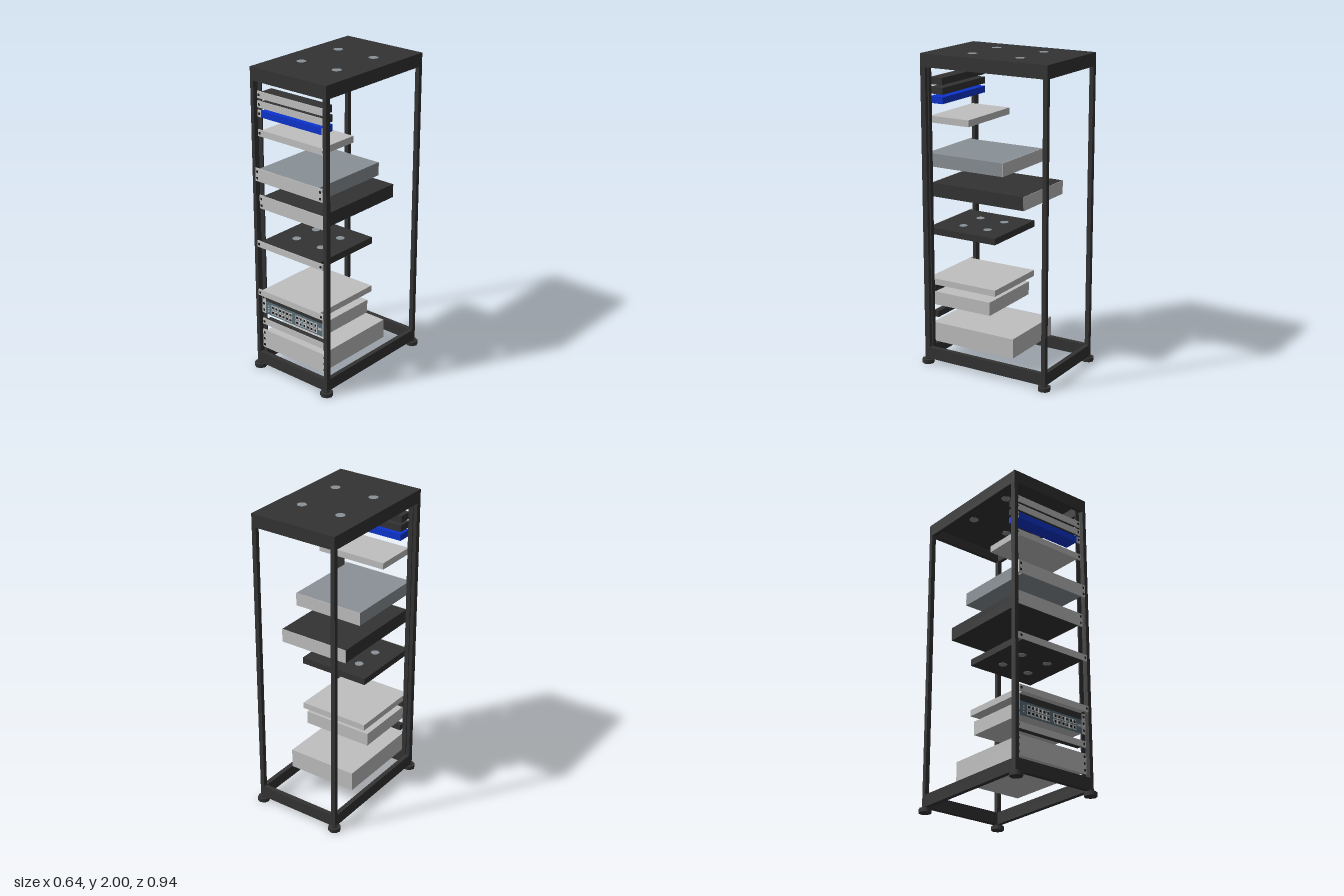
import * as THREE from 'three';

const mat = (name, color) => {
  const m = new THREE.MeshStandardMaterial({ color });
  m.name = name;
  return m;
};

export function createModel() {
  const charcoal = mat('charcoal', 0x333333);
  const silver = mat('silver', 0xc0c0c0);
  const steel = mat('steel grey', 0x8a9196);
  const blue = mat('blue', 0x0c34d0);
  const teal = mat('slate teal', 0x587079);
  const black = mat('black', 0x1c1c1c);

  const rack = new THREE.Group();
  rack.name = 'equipmentRack';

  // Box given by its extents on each axis
  const box = (name, material, [x0, x1], [y0, y1], [z0, z1], parent = rack) => {
    const mesh = new THREE.Mesh(new THREE.BoxGeometry(x1 - x0, y1 - y0, z1 - z0), material);
    mesh.position.set((x0 + x1) / 2, (y0 + y1) / 2, (z0 + z1) / 2);
    mesh.name = name;
    parent.add(mesh);
    return mesh;
  };
  const disc = (name, material, r, y0, y1, x, z, sides, parent = rack) => {
    const mesh = new THREE.Mesh(new THREE.CylinderGeometry(r, r, y1 - y0, sides), material);
    mesh.position.set(x, (y0 + y1) / 2, z);
    mesh.name = name;
    parent.add(mesh);
  };
  // Four round vents, showing on both faces of a plate
  const vents = (y0, y1, dx, dz, zc, r, parent) => {
    for (const sx of [-1, 1]) for (const sz of [-1, 1]) {
      for (const y of [y0, y1]) disc('vent', steel, r, y - 0.002, y + 0.002, sx * dx, zc + sz * dz, 16, parent);
    }
  };

  const W = 0.295, D = 0.443;

  // Hollow top cover and open base: four beams each
  const ring = (name, y0, y1, t) => {
    const g = new THREE.Group();
    g.name = name;
    for (const s of [-1, 1]) {
      const zc = s * (D - t / 2), xc = s * (W - t / 2);
      box('crossBeam', charcoal, [-W, W], [y0, y1], [zc - t / 2, zc + t / 2], g);
      box('sideBeam', charcoal, [xc - t / 2, xc + t / 2], [y0, y1], [-D + t, D - t], g);
    }
    rack.add(g);
  };
  ring('topFrame', 1.917, 1.983, 0.025);
  ring('baseFrame', 0.033, 0.11, 0.03);
  box('topPlate', charcoal, [-W, W], [1.983, 2], [-D, D]);
  vents(1.983, 1.9985, 0.138, 0.168, 0, 0.03, rack);

  // Corner posts, equipment rails and feet
  for (const s of [-1, 1]) {
    const span = (a, b) => (s > 0 ? [a, b] : [-b, -a]);
    box('frontPost', charcoal, span(0.27, W), [0.1, 1.93], [0.408, D]);
    box('mountingRail', charcoal, span(0.24, 0.27), [0.1, 1.93], [0.4, 0.408]);
    box('rearPost', charcoal, span(0.266, W), [0.1, 1.93], [-D, -0.415]);
    for (const z of [-0.43, 0.43]) {
      disc('foot', charcoal, 0.04, 0, 0.026, s * 0.281, z, 8);
      disc('footStem', charcoal, 0.022, 0.026, 0.036, s * 0.281, z, 8);
    }
  }

  // Rack unit: body, front panel, ears with screws
  const unit = (name, y0, y1, back, body, { face = silver, rear = null, front = 0.416 } = {}) => {
    const g = new THREE.Group();
    g.name = name;
    rack.add(g);
    const w = 0.238;
    box('body', body, [-w, w], [y0, y1], [back, front - 0.005], g);
    box('frontPanel', face, [-w, w], [y0, y1], [front - 0.005, front], g);
    if (rear) box('rearPanel', rear, [-w, w], [y0, y1], [back - 0.003, back], g);
    const rows = Math.max(1, Math.round((y1 - y0) / 0.043));
    for (const s of [-1, 1]) {
      const a = s * w, b = s * 0.268;
      box('ear', silver, [Math.min(a, b), Math.max(a, b)], [y0, y1], [front - 0.008, front], g);
      for (let i = 0; i < rows; i++) {
        const y = y0 + ((i + 0.5) * (y1 - y0)) / rows;
        box('screw', black, [s * 0.253 - 0.006, s * 0.253 + 0.006], [y - 0.007, y + 0.007], [front, front + 0.003], g);
      }
    }
    return g;
  };

  unit('upperPatchPanel', 1.806, 1.85, 0.325, charcoal);
  unit('lowerPatchPanel', 1.748, 1.79, 0.32, charcoal);
  unit('bluePanel', 1.69, 1.732, 0.32, blue, { face: blue });
  unit('slimUnit', 1.568, 1.61, 0.135, silver);
  unit('steelServer', 1.29, 1.374, -0.105, steel, { rear: silver, front: 0.447 });
  unit('darkServer', 1.1, 1.187, -0.252, charcoal, { rear: silver });
  const shelf = unit('ventedShelf', 0.853, 0.895, -0.05, charcoal, { front: 0.447 });
  vents(0.853, 0.895, 0.1, 0.09, 0.18, 0.027, shelf);
  unit('shallowUnit', 0.52, 0.56, -0.05, silver, { front: 0.447 });
  unit('blankPanel', 0.475, 0.515, 0.395, charcoal, { face: charcoal });
  const net = unit('networkSwitch', 0.387, 0.474, -0.008, silver, { face: teal, rear: silver });
  unit('cablePanel', 0.304, 0.344, 0.375, charcoal);
  unit('powerUnit', 0.138, 0.265, -0.18, silver);

  // Switch ports: two banks, two rows of six sockets
  const zf = 0.416;
  for (const x0 of [-0.19, 0.015]) {
    for (let r = 0; r < 2; r++) for (let c = 0; c < 6; c++) {
      const x = x0 + 0.015 + c * 0.03, y = 0.411 + r * 0.035;
      box('port', silver, [x - 0.013, x + 0.013], [y - 0.015, y + 0.015], [zf, zf + 0.002], net);
      box('socket', black, [x - 0.007, x + 0.007], [y - 0.007, y + 0.007], [zf + 0.002, zf + 0.003], net);
    }
  }
  for (let i = 0; i < 3; i++) {
    const y = 0.41 + i * 0.018;
    box('statusLight', silver, [-0.217, -0.207], [y - 0.004, y + 0.004], [zf, zf + 0.002], net);
  }
  box('uplinkPort', silver, [0.204, 0.23], [0.425, 0.44], [zf, zf + 0.002], net);

  return rack;
}
